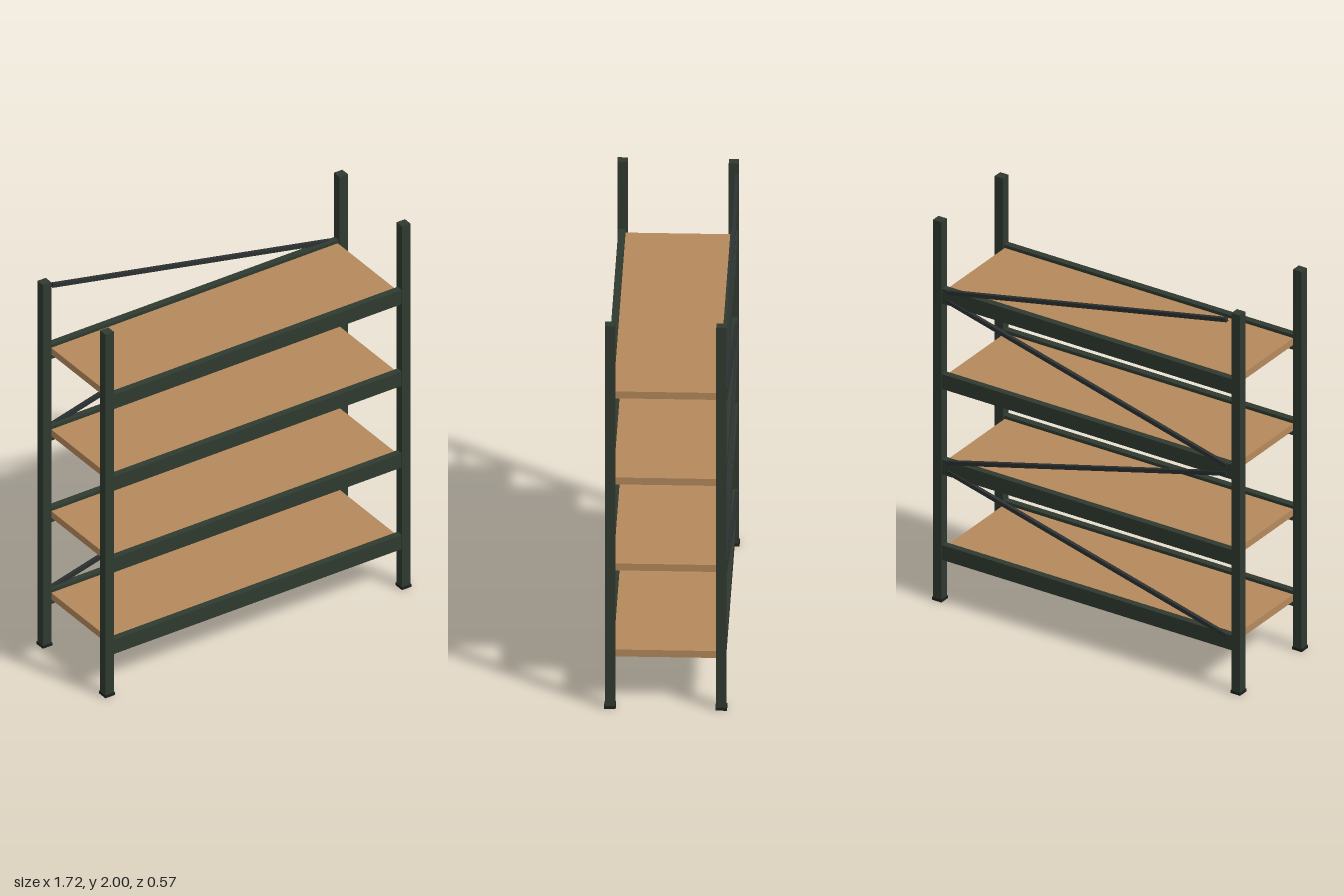
import * as THREE from 'three';

const frameGreen = new THREE.MeshStandardMaterial({ name: 'frameGreen', color: 0x2f3a30 });
const braceGrey = new THREE.MeshStandardMaterial({ name: 'braceGrey', color: 0x2b3030 });
const footBlack = new THREE.MeshStandardMaterial({ name: 'footBlack', color: 0x1d211e });
const shelfWood = new THREE.MeshStandardMaterial({ name: 'shelfWood', color: 0xb5895c });

function box(parent, name, material, size, position) {
  const mesh = new THREE.Mesh(new THREE.BoxGeometry(...size), material);
  mesh.name = name;
  mesh.position.set(...position);
  parent.add(mesh);
  return mesh;
}

export function createModel() {
  const rack = new THREE.Group();
  rack.name = 'storageRack';
  const postX = 0.833, postZ = 0.259;

  // Corner posts on small foot plates
  for (const sx of [-1, 1]) {
    for (const sz of [-1, 1]) {
      const end = (sz > 0 ? 'front' : 'back') + (sx > 0 ? 'Left' : 'Right');
      box(rack, end + 'Post', frameGreen, [0.047, 1.99, 0.047], [sx * postX, 1.005, sz * postZ]);
      box(rack, end + 'Foot', footBlack, [0.054, 0.014, 0.054], [sx * postX, 0.007, sz * postZ]);
    }
  }

  // Four levels: a board held between a front and a back beam
  for (let i = 0; i < 4; i++) {
    const y = 0.26 + i * 0.45;
    const level = new THREE.Group();
    level.name = 'shelfLevel' + (i + 1);
    box(level, 'frontBeam', frameGreen, [1.63, 0.078, 0.034], [0, y, 0.261]);
    box(level, 'backBeam', frameGreen, [1.63, 0.078, 0.034], [0, y, -0.261]);
    box(level, 'shelfBoard', shelfWood, [1.61, 0.036, 0.5], [0, y + 0.005, 0]);
    rack.add(level);
  }

  // Zigzag braces across the back: [height at right end, height at left end]
  const braces = [[0.29, 0.695], [1.145, 0.74], [1.185, 1.592], [1.953, 1.637]];
  braces.forEach(([y0, y1], i) => {
    const run = 1.56, rise = y1 - y0;
    const brace = box(rack, 'backBrace' + (i + 1), braceGrey,
      [Math.hypot(run, rise), 0.02, 0.018], [0, (y0 + y1) / 2, -0.275]);
    brace.rotation.z = Math.atan2(rise, run);
  });

  return rack;
}
